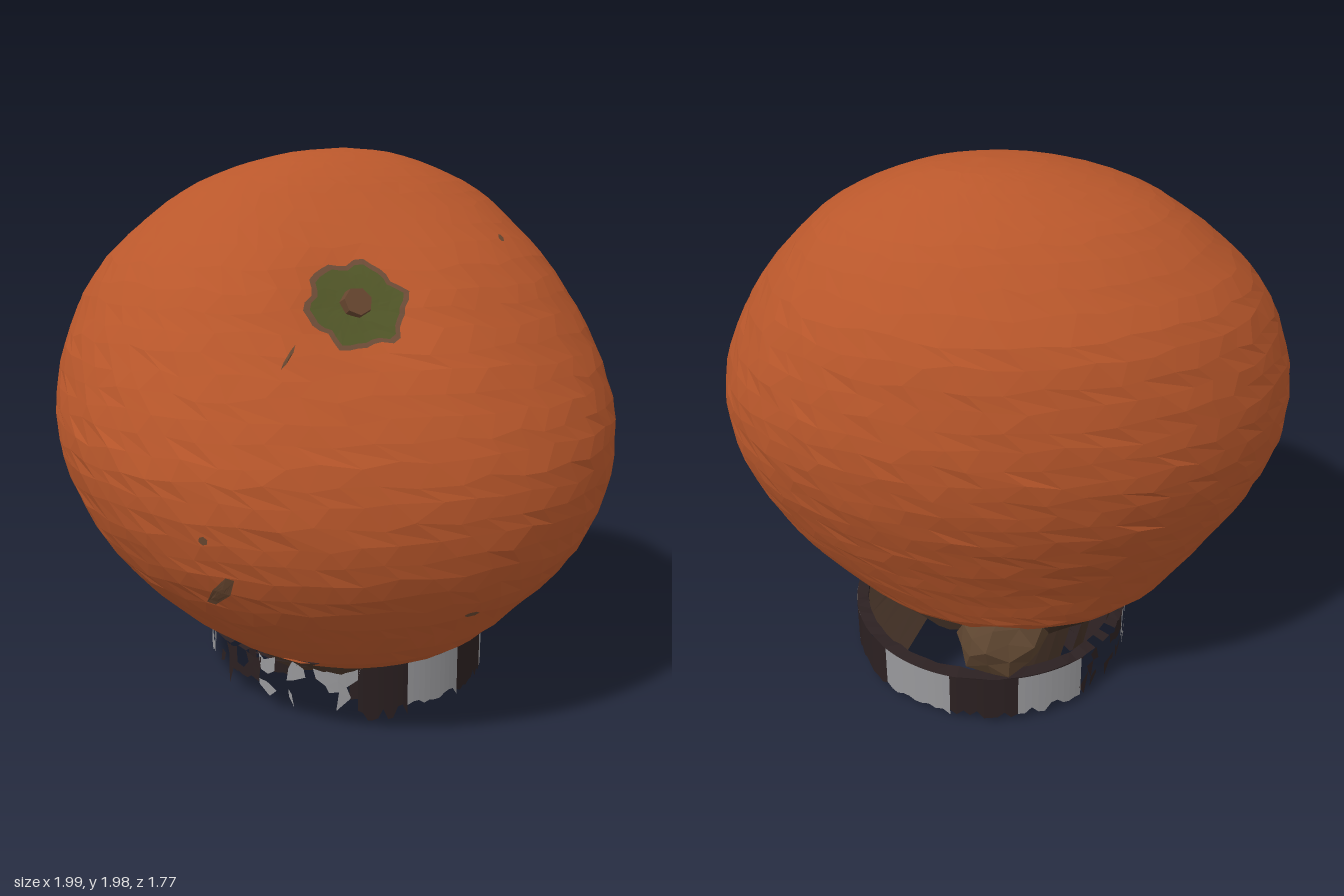
import * as THREE from 'three';

const mat = (name, color) => {
  const m = new THREE.MeshStandardMaterial({ color, flatShading: true, side: THREE.DoubleSide });
  m.name = name;
  return m;
};

// Small seeded random source
let seed = 7;
const rnd = () => {
  seed = (seed * 16807) % 2147483647;
  return seed / 2147483647;
};

// Skin rows of points; keep(i, j) decides which quads exist
function loft(rows, closed = true, keep = () => true) {
  const n = rows[0].length, pos = [], idx = [];
  rows.forEach(r => r.forEach(p => pos.push(p.x, p.y, p.z)));
  for (let i = 0; i < rows.length - 1; i++) {
    for (let j = 0; j < (closed ? n : n - 1); j++) {
      if (!keep(i, j)) continue;
      const a = i * n + j, b = i * n + (j + 1) % n;
      idx.push(a, b, a + n, b, b + n, a + n);
    }
  }
  const g = new THREE.BufferGeometry();
  g.setAttribute('position', new THREE.Float32BufferAttribute(pos, 3));
  g.setIndex(idx);
  g.computeVertexNormals();
  return g;
}

// Fruit cross-sections: height, x min, x max, z min, z max
const SECTIONS = [
  [1.985, 0.1, 0.1, -0.2, -0.2],
  [1.966, -0.11, 0.28, -0.34, -0.06],
  [1.9, -0.35, 0.47, -0.48, 0.09],
  [1.8, -0.54, 0.64, -0.63, 0.23],
  [1.6, -0.78, 0.81, -0.8, 0.48],
  [1.4, -0.91, 0.92, -0.86, 0.64],
  [1.2, -0.98, 0.985, -0.88, 0.77],
  [1.0, -1.0, 0.99, -0.85, 0.86],
  [0.8, -0.95, 0.93, -0.78, 0.88],
  [0.6, -0.84, 0.82, -0.69, 0.83],
  [0.4, -0.65, 0.62, -0.61, 0.68],
  [0.28, -0.44, 0.45, -0.54, 0.44],
];
const STEM = new THREE.Vector2(-0.13, 1.5);
const RING = { x: 0.07, z: -0.085, r: 0.53 };
const SIDES = 56;
const rimY = z => 0.275 - 0.15 * z;
// Slightly squarer sine and cosine
const fuller = v => Math.sign(v) * Math.abs(v) ** 0.95;

function fruitRows(rings) {
  const curve = k => new THREE.CatmullRomCurve3(
    SECTIONS.map(s => new THREE.Vector3(s[k], s[0], s[k + 1])), false, 'catmullrom', 0.5);
  const cx = curve(1), cz = curve(3), rows = [];
  for (let i = 0; i <= rings; i++) {
    const row = [];
    const tilt = THREE.MathUtils.smoothstep(i / rings, 0.88, 1);
    const wobble = Math.min(1, i / 4) * (1 - tilt);
    for (let j = 0; j < SIDES; j++) {
      // Uneven facets: each corner slides a little along the profile and around it
      const t = THREE.MathUtils.clamp((i + (rnd() - 0.5) * 0.4 * wobble) / rings, 0, 1);
      const X = cx.getPoint(t), Z = cz.getPoint(t);
      const a = (j + (i % 2) * 0.5 + (rnd() - 0.5) * 0.3) / SIDES * Math.PI * 2;
      const bump = 1 + (rnd() - 0.5) * 0.007;
      const c = fuller(Math.cos(a)) * bump, s = fuller(Math.sin(a)) * bump;
      const rx = (X.z - X.x) / 2, rz = (Z.z - Z.x) / 2;
      const p = new THREE.Vector3((X.x + X.z) / 2 + rx * c, X.y,
        (Z.x + Z.z) / 2 + rz * s + (0.07 * c + 0.056 * c * c * s * s) * rx);
      p.y += (rimY(p.z) - 0.28) * tilt;
      // Dimple around the stem
      if (s > 0) p.z -= 0.07 * Math.exp(-((p.x - STEM.x) ** 2 + (p.y - STEM.y) ** 2) / 0.04);
      row.push(p);
    }
    rows.push(row);
  }
  return rows;
}

export function createModel() {
  seed = 7;
  const group = new THREE.Group();
  const orange = mat('orangePeel', 0xb9572b);
  const green = mat('calyxGreen', 0x505527);
  const edge = mat('calyxEdge', 0x6c4b36);
  const stemBrown = mat('stemBrown', 0x684730);
  const dark = mat('darkBand', 0x2b2021);
  const light = mat('lightBand', 0x98989b);
  const brown = mat('footBrown', 0x5c442f);
  const collarBrown = mat('collarBrown', 0x3a2a20);
  const add = (name, geo, material) => {
    const m = new THREE.Mesh(geo, material);
    m.name = name;
    group.add(m);
    return m;
  };

  // Fruit, open underneath, with a torn rim at the front right
  const rows = fruitRows(36);
  const tornRim = (i, j) => i < 34 || j < SIDES * 0.29 || j > SIDES * 0.46 || rnd() > 0.3;
  const fruit = add('fruit', loft(rows, true, tornRim), orange);
  fruit.updateMatrixWorld();

  // Point on the front of the peel, lifted slightly
  const ray = new THREE.Raycaster();
  const onPeel = (x, y, lift) => {
    ray.set(new THREE.Vector3(x, y, 5), new THREE.Vector3(0, 0, -1));
    const hit = ray.intersectObject(fruit)[0];
    return new THREE.Vector3(x, y, (hit ? hit.point.z : 0) + lift);
  };
  // Thin patch that follows the peel; radius(a) scales the outline
  const patch = (name, x, y, w, h, turn, lift, material, radius, sides = 36) => {
    const patchRows = [0.02, 0.25, 0.5, 0.75, 1].map(k => Array.from({ length: sides }, (_, j) => {
      const a = -j / sides * Math.PI * 2, r = radius(a) * k;
      const u = Math.cos(a) * r * w, v = Math.sin(a) * r * h;
      return onPeel(x + u * Math.cos(turn) - v * Math.sin(turn),
        y + u * Math.sin(turn) + v * Math.cos(turn), lift);
    }));
    add(name, loft(patchRows), material);
  };

  // Calyx and stem
  const star = a => 0.9 + 0.07 * Math.cos(6 * a + 0.4) + 0.04 * Math.cos(11 * a);
  patch('calyxEdge', STEM.x, STEM.y, 0.182, 0.138, 0.2, 0.008, edge, star);
  patch('calyx', STEM.x, STEM.y, 0.16, 0.122, 0.2, 0.014, green, star);
  const stem = add('stem', new THREE.CylinderGeometry(0.047, 0.056, 0.06, 7), stemBrown);
  stem.position.copy(onPeel(STEM.x, STEM.y, 0.012));
  stem.quaternion.setFromUnitVectors(new THREE.Vector3(0, 1, 0), new THREE.Vector3(0, 0.45, 0.89).normalize());

  // Scars on the peel
  [[-0.62, 0.635, 0.024, 0.07, -0.25], [-0.385, 1.36, 0.045, 0.005, 0.85],
    [0.165, 0.515, 0.03, 0.01, 0], [0.485, 1.68, 0.012, 0.012, 0], [-0.68, 0.82, 0.012, 0.015, 0.4],
  ].forEach(([x, y, w, h, turn]) => patch('scar', x, y, w, h, turn, 0.006, stemBrown, () => 1, 6));

  // Banded stand ring with a ragged lower edge, torn on one side
  const at = (a, r, y) => new THREE.Vector3(RING.x + Math.cos(a) * r, y, RING.z + Math.sin(a) * r);
  const STEPS = 10;
  const EDGES = [3.5, 36.5, 61, 87, 107, 148, 180, 212, 243, 271, 298, 329, 363.5];
  for (let b = 0; b < EDGES.length - 1; b++) {
    const torn = b >= 4 && b <= 7, half = b === 3;
    const band = [[], [], [], []];
    for (let j = 0; j <= STEPS; j++) {
      const low = torn ? 0.03 + rnd() * 0.08 : half ? rnd() * 0.05 : 0.02 + rnd() * 0.035;
      [0.205, 0.15, 0.1, j === 0 && b < 4 ? low * 0.3 : low].forEach((y, i) => {
        const shift = torn ? (rnd() - 0.5) * 0.8 : 0;
        const a = THREE.MathUtils.degToRad(THREE.MathUtils.lerp(EDGES[b], EDGES[b + 1], (j + shift) / STEPS));
        band[i].push(at(a, RING.r, torn ? y + (rnd() - 0.5) * 0.04 : y));
      });
    }
    const keep = () => (!torn && !half) || rnd() > (half ? 0.1 : 0.55);
    add('standBand', loft(band, false, keep), b % 2 ? dark : light);
  }

  // Ring top lip and inner wall
  const lip = [[0.53, 0.205], [0.485, 0.215], [0.475, 0.13], [0.48, 0.06]].map(([r, y]) =>
    Array.from({ length: 72 }, (_, j) => at(j / 72 * Math.PI * 2, r, y + (rnd() - 0.5) * 0.012)));
  add('standInnerWall', loft(lip, true, (i, j) => {
    const torn = j > 21 && j < 49;
    return !torn || rnd() > [0.2, 0.7, 1][i];
  }), dark);

  // Ragged shelf inside the torn side of the ring
  const shelf = [0.485, 0.42, 0.33].map((r, i) => Array.from({ length: 19 }, (_, j) =>
    at(THREE.MathUtils.degToRad(155 + j * 5), r + i * (rnd() - 0.5) * 0.06, 0.215 + i * 0.005)));
  add('standShelf', loft(shelf, false, i => rnd() > i * 0.25), dark);

  // Torn collar between the fruit and the ring
  const rim = rows[rows.length - 1];
  const collar = [rim, rim.map(p => new THREE.Vector3(p.x * 0.98 + 0.01, p.y - 0.03 - rnd() * 0.02, p.z * 0.98)),
    rim.map((p, j) => at(j / SIDES * Math.PI * 2, 0.485, 0.2))];
  // Chance of a gap around the rim, by fraction of a turn
  const gap = f => f < 0.22 ? 0.1 : f < 0.69 ? 0.5 : f > 0.76 && f < 0.88 ? 1 : 0;
  add('collar', loft(collar, true, (i, j) => i === 0 || rnd() > gap(j / SIDES)), collarBrown);

  // Lumpy foot at the back
  const foot = new THREE.IcosahedronGeometry(1, 1);
  const fp = foot.attributes.position;
  for (let i = 0; i < fp.count; i++) {
    const x = fp.getX(i), y = fp.getY(i), z = fp.getZ(i);
    const k = 1 + 0.14 * Math.sin(5 * x + 3 * y) * Math.cos(4 * z + x);
    fp.setXYZ(i, x * k * 0.16, y * k * 0.135, z * k * 0.125 - y * 0.02);
  }
  foot.computeVertexNormals();
  add('foot', foot, brown).position.set(0.12, 0.32, -0.53);

  return group;
}
